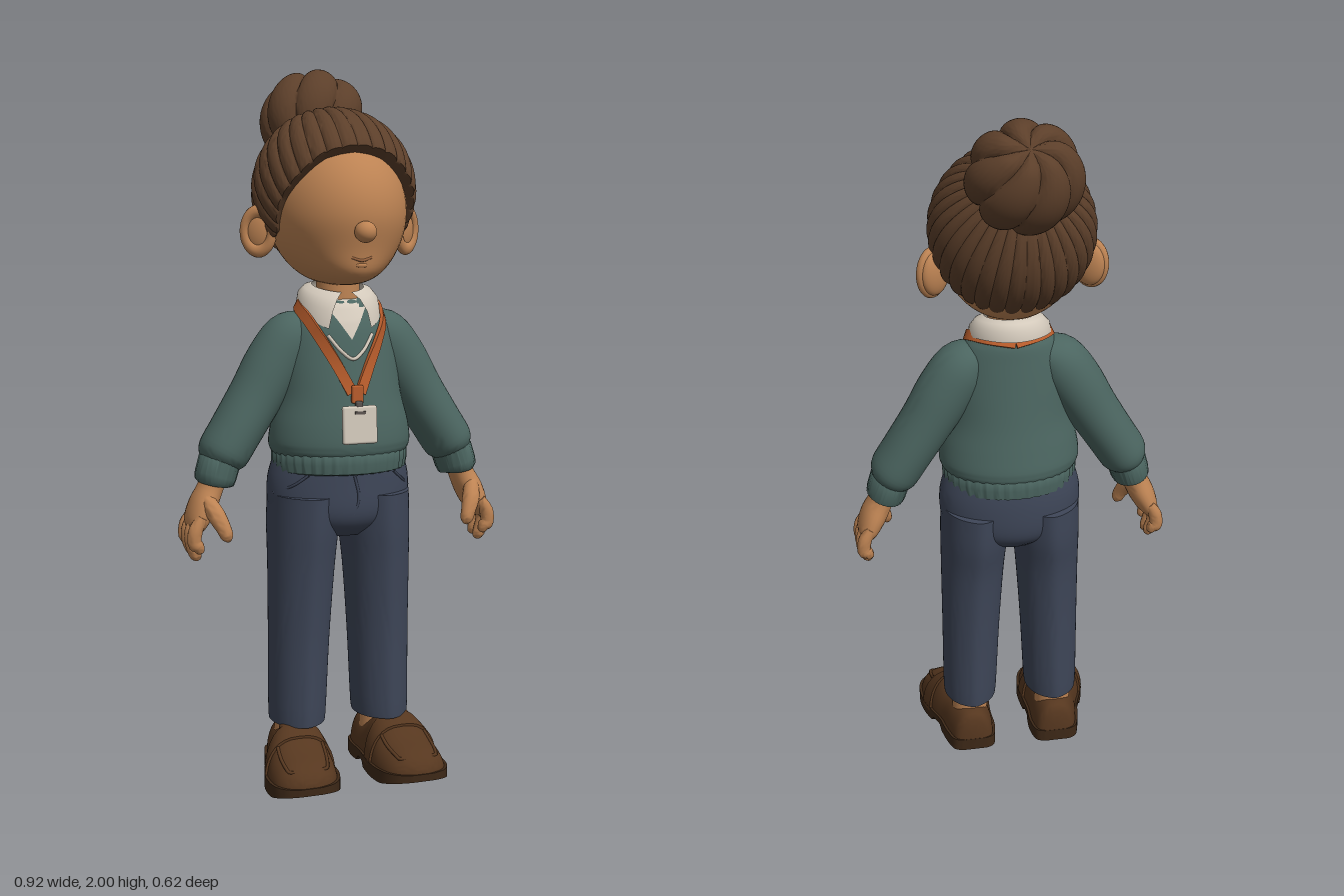
import * as THREE from 'three';
import { toCreasedNormals } from 'three/addons/utils/BufferGeometryUtils.js';
import { RoundedBoxGeometry } from 'three/addons/geometries/RoundedBoxGeometry.js';

const V = (x, y, z) => new THREE.Vector3(x, y, z);
const { sin, cos, abs, PI, sign, pow, floor, min, max, sqrt } = Math;

// Closed solid through a list of rings, with end caps and outward faces
function loft(rings, crease = 0.9) {
  const n = rings[0].length, pts = rings.flat(), tri = [];
  rings.slice(1).forEach((_, i) => {
    for (let j = 0; j < n; j++) {
      const a = i * n + j, b = i * n + (j + 1) % n;
      tri.push(a, b, a + n, b, b + n, a + n);
    }
  });
  for (const [start, flip] of [[0, 1], [(rings.length - 1) * n, 0]]) {
    const c = V(0, 0, 0);
    for (let j = 0; j < n; j++) c.addScaledVector(pts[start + j], 1 / n);
    pts.push(c);
    for (let j = 0; j < n; j++) {
      const a = start + j, b = start + (j + 1) % n;
      tri.push(pts.length - 1, flip ? b : a, flip ? a : b);
    }
  }
  let vol = 0;
  for (let i = 0; i < tri.length; i += 3)
    vol += pts[tri[i]].dot(V(0, 0, 0).crossVectors(pts[tri[i + 1]], pts[tri[i + 2]]));
  if (vol < 0) tri.reverse();
  const g = new THREE.BufferGeometry().setFromPoints(pts);
  g.setIndex(tri);
  return toCreasedNormals(g, crease);
}

// Smooth interpolation of every column of a table
function smooth(rows, k = 4) {
  const out = [], at = i => rows[max(0, min(rows.length - 1, i))];
  for (let i = 0; i < rows.length - 1; i++)
    for (let s = 0; s < k; s++) {
      const t = s / k;
      out.push(rows[i].map((_, c) => {
        const [p, a, b, d] = [at(i - 1)[c], at(i)[c], at(i + 1)[c], at(i + 2)[c]];
        return a + 0.5 * t * (b - p + t * (2 * p - 5 * a + 4 * b - d + t * (3 * (a - b) + d - p)));
      }));
    }
  return [...out, at(rows.length - 1)];
}

const ring = (n, fn) => Array.from({ length: n }, (_, j) => fn(j / n * 2 * PI));

// Upright stack of ellipses: rows of [y, cx, cz, rx, rz]
const stack = (rows, n = 40, f = () => 1) => loft(rows.map(([y, cx, cz, rx, rz]) =>
  ring(n, a => V(cx + rx * sin(a) * f(a), y, cz + rz * cos(a) * f(a)))));

// Limb along a path: rows of [x, y, z, radius, depth radius]
function limb(rows, n = 24, f = () => 1) {
  return loft(rows.map(([x, y, z, r, rz = r], i) => {
    const p = rows[max(0, i - 1)], q = rows[min(rows.length - 1, i + 1)];
    const t = V(q[0] - p[0], q[1] - p[1], q[2] - p[2]).normalize();
    const b = V(0, 0, 1).addScaledVector(t, -t.z).normalize(), m = V(0, 0, 0).crossVectors(t, b);
    return ring(n, a => V(x, y, z).addScaledVector(m, r * cos(a) * f(a)).addScaledVector(b, rz * sin(a) * f(a)));
  }));
}

const wire = (pts, r) => new THREE.TubeGeometry(new THREE.CatmullRomCurve3(pts.map(p => V(...p))), 40, r, 8);
const ball = (x, y, z, rx, ry, rz) => new THREE.SphereGeometry(1, 32, 24).scale(rx, ry, rz).translate(x, y, z);

function mirrored(geo) {
  const g = geo.index ? geo.toNonIndexed() : geo.clone();
  for (const name of ['position', 'normal']) {
    const a = g.attributes[name];
    for (let i = 0; i < a.count; i += 3) {
      const v = [0, 2, 1].map(k => V(0, 0, 0).fromBufferAttribute(a, i + k));
      v.forEach((p, k) => a.setXYZ(i + k, -p.x, p.y, p.z));
    }
  }
  return g;
}

const TORSO = smooth([[0.93, 0, 0.055, 0.19, 0.155], [0.96, 0, 0.057, 0.204, 0.165], [1.02, 0, 0.06, 0.197, 0.158],
  [1.1, 0, 0.06, 0.176, 0.143], [1.2, 0, 0.055, 0.166, 0.124], [1.28, 0, 0.05, 0.15, 0.108],
  [1.33, 0, 0.042, 0.125, 0.092], [1.355, 0, 0.042, 0.095, 0.077], [1.37, 0, 0.042, 0.06, 0.05]], 5);
// Front of the sweater at a given x and y
function chestZ(x, y) {
  const [, , cz, rx, rz] = TORSO.find(r => r[0] >= y) || TORSO.at(-1);
  return cz + rz * sqrt(max(0, 1 - (x / rx) ** 2));
}

// Direction grid round a pole tilted up and back, shared by hair and bun
const dir = (th, ph) => V(sin(th) * sin(ph),
  cos(th) * 0.75 + sin(th) * cos(ph) * 0.66, -cos(th) * 0.66 + sin(th) * cos(ph) * 0.75);

// Hairline: [angle round pole, angle from pole] in degrees
const HAIRLINE = [[0, 98], [25, 100], [45, 107], [70, 114], [95, 124], [105, 122], [118, 109], [135, 114], [155, 122], [181, 124]];
function hairline(ph) {
  const d = min(ph, 2 * PI - ph) * 180 / PI, i = HAIRLINE.findIndex(h => h[0] > d) - 1;
  const [a, b] = [HAIRLINE[i], HAIRLINE[i + 1]];
  return (a[1] + (b[1] - a[1]) * (d - a[0]) / (b[0] - a[0])) * PI / 180;
}
function hair() {
  const rings = [];
  for (let i = 0; i <= 34; i++) rings.push(ring(288, ph => {
    const t = min(1, (i + 0.3) / 30), roll = max(0, i - 29) / 5;
    const groove = (1 - pow(abs(sin(16 * ph)), 0.6)) * 0.035 * min(1, t * 2.5);
    const d = dir(t * hairline(ph) + roll * 0.03, ph).multiplyScalar((1 - groove) * (1 - 0.24 * roll * roll));
    return V(d.x * 0.23, 1.66 + d.y * 0.232, d.z * (d.z > 0 ? 0.262 : 0.215));
  }));
  return loft(rings, 1.2);
}
function bun() {
  const rings = [];
  for (let i = 0; i <= 36; i++) rings.push(ring(168, ph => {
    const th = (i + 0.05) / 36.1 * PI;
    const lobe = 0.86 + 0.15 * pow(abs(sin(3.5 * ph + 1.3 * th)), 0.55) * min(1, th * 2);
    const d = dir(th, ph).multiplyScalar(lobe);
    return V(d.x * 0.155, 1.855 + d.y * 0.147, -0.172 + d.z * 0.142);
  }));
  return loft(rings, 1.2);
}
function head() {
  const g = new THREE.SphereGeometry(1, 56, 44), p = g.attributes.position;
  for (let i = 0; i < p.count; i++) {
    const x = p.getX(i), y = p.getY(i), z = p.getZ(i);
    const jaw = y < 0 ? 1 + 1.1 * y ** 4 : 1;
    p.setXYZ(i, x * 0.19, 1.6 + y * (y > 0 ? 0.22 : 0.2), 0.03 + z * (z > 0 ? 0.238 * jaw : 0.19));
  }
  g.computeVertexNormals();
  return g;
}

// Open strip surface between rows of points
function sheet(rows) {
  const n = rows[0].length, g = new THREE.BufferGeometry().setFromPoints(rows.flat()), idx = [];
  for (let i = 0; i < rows.length - 1; i++) for (let j = 0; j < n - 1; j++) {
    const a = i * n + j;
    idx.push(a, a + n, a + 1, a + 1, a + n, a + n + 1);
  }
  g.setIndex(idx);
  g.computeVertexNormals();
  return g;
}
function collar() {
  return sheet([0, 0.3, 0.65, 1].map(t => Array.from({ length: 41 }, (_, j) => {
    const u = j / 40 * 2 - 1, aT = PI - u * (PI - 0.2), aB = PI - u * (PI - 0.55);
    const f = (1 + cos(aB)) / 2, out = 0.012 * sin(t * PI);
    const T = V(0.072 * sin(aT), 1.412 - 0.03 * f, 0.043 + 0.078 * cos(aT));
    const B = V(0.118 * sin(aB), 1.36 - 0.085 * f * f, 0.048 + 0.122 * cos(aB));
    return T.lerp(B, t).add(V(out * sin(aB), out, out * cos(aB)));
  })));
}
const lanyard = () => {
  const pts = [[0, 1.35, -0.053], [0.07, 1.357, -0.03], [0.116, 1.347, 0.035], [0.108, 1.305, 0.12],
    ...[[0.08, 1.25], [0.048, 1.19], [0.012, 1.115]].map(([x, y]) => [x, y, chestZ(x, y) + 0.006])];
  const curve = new THREE.CatmullRomCurve3(pts.map(p => V(...p)));
  return loft(Array.from({ length: 41 }, (_, i) => {
    const p = curve.getPoint(i / 40), t = curve.getTangent(i / 40);
    const out = V(p.x, max(0, p.y - 1.28) * 0.8, p.z - 0.045).normalize();
    const w = V(0, 0, 0).crossVectors(t, out).normalize();
    return [[-1, -1], [1, -1], [1, 1], [-1, 1]].map(([a, b]) =>
      p.clone().addScaledVector(w, a * 0.015).addScaledVector(out, b * 0.005));
  }), 0.6);
};

// Shoe sections: [z, centre x, half width, height]
const SHOE = smooth([[-0.064, 0.13, 0.03, 0.085], [-0.05, 0.13, 0.056, 0.122], [0, 0.133, 0.07, 0.132], [0.06, 0.14, 0.075, 0.138],
  [0.11, 0.148, 0.086, 0.16], [0.16, 0.154, 0.096, 0.14], [0.21, 0.158, 0.098, 0.113], [0.26, 0.162, 0.088, 0.093],
  [0.293, 0.164, 0.062, 0.07], [0.308, 0.165, 0.025, 0.048]]);
const shoePoint = ([z, cx, w, h], a, grow = 0) => V(cx + (w + grow) * sign(cos(a)) * pow(abs(cos(a)), 0.75),
  0.025 + max(0, (h - 0.025 + grow) * sin(a)), z);
const shoeUpper = (rows, grow) => loft(rows.map(r => ring(36, a => shoePoint(r, a, grow))));
const shoeSole = () => loft(SHOE.map(([z, cx, w]) => {
  const bottom = z > 0.055 && z < 0.1 ? 0.016 : max(0, z - 0.24) * 0.25;
  return [[-1, bottom], [1, bottom], [1, 0.038], [-1, 0.038]].map(([s, y]) => V(cx + s * (w + 0.007), y, z * 1.01));
}), 0.6);

export function createModel() {
  const model = new THREE.Group();
  const mat = (name, color, side = THREE.FrontSide) => new THREE.MeshStandardMaterial({ name, color, side });
  const skin = mat('skin', 0xbd8353), lip = mat('lip', 0x9a6540), hairMat = mat('brown hair', 0x5c3f2a),
    wool = mat('green wool', 0x4b6560), cloth = mat('navy cloth', 0x3e4658), leather = mat('brown leather', 0x56371f),
    rubber = mat('dark sole', 0x3d2817), cream = mat('cream', 0xd3c9bb, THREE.DoubleSide),
    orange = mat('orange ribbon', 0xb95d2c), metal = mat('dark metal', 0x5b5450);
  const add = (name, geo, m) => {
    const mesh = new THREE.Mesh(geo, m);
    mesh.name = name;
    model.add(mesh);
  };
  const pair = (name, geo, m) => { add(name + 'Left', geo, m); add(name + 'Right', mirrored(geo), m); };

  // Head
  add('head', head(), skin);
  add('nose', ball(0, 1.555, 0.274, 0.03, 0.029, 0.03), skin);
  add('mouth', wire([[-0.028, 1.486, 0.243], [0, 1.478, 0.247], [0.028, 1.486, 0.243]], 0.004), lip);
  add('lowerLip', ball(0, 1.465, 0.242, 0.018, 0.007, 0.006), skin);
  add('neck', new THREE.CylinderGeometry(0.06, 0.064, 0.16, 32).translate(0, 1.37, 0.045), skin);
  const place = g => g.rotateY(0.6).translate(0.212, 1.55, -0.005);
  pair('ear', place(ball(0, 0, 0, 0.046, 0.062, 0.024)), skin);
  pair('earRim', place(new THREE.TorusGeometry(0.04, 0.014, 12, 36).scale(1, 1.35, 1).translate(0, 0, 0.012)), skin);
  add('hair', hair(), hairMat);
  add('bun', bun(), hairMat);

  // Sweater
  const ribs = k => a => 1 + 0.012 * cos(k * a);
  add('sweaterBody', stack(TORSO, 48), wool);
  add('sweaterHem', stack([[0.885, 0, 0.055, 0.18, 0.148], [0.889, 0, 0.055, 0.19, 0.158], [0.915, 0, 0.056, 0.194, 0.162],
    [0.94, 0, 0.056, 0.194, 0.162], [0.948, 0, 0.056, 0.186, 0.154]], 240, ribs(40)), wool);
  pair('sleeve', limb(smooth([[0.09, 1.285, 0.035, 0.05, 0.06], [0.135, 1.255, 0.035, 0.077, 0.08], [0.185, 1.185, 0.035, 0.082, 0.085],
    [0.24, 1.095, 0.037, 0.076, 0.085], [0.3, 1.0, 0.042, 0.073, 0.088], [0.338, 0.94, 0.045, 0.071, 0.086],
    [0.352, 0.915, 0.047, 0.056, 0.07]]), 36), wool);
  pair('cuff', limb([[0.345, 0.925, 0.047, 0.05, 0.066], [0.348, 0.92, 0.047, 0.058, 0.073], [0.361, 0.878, 0.05, 0.057, 0.073],
    [0.366, 0.862, 0.052, 0.054, 0.069], [0.367, 0.857, 0.052, 0.045, 0.06]], 168, ribs(28)), wool);

  // Shirt, lanyard and badge
  add('collar', collar(), cream);
  add('shirtFront', sheet(Array.from({ length: 9 }, (_, i) => [-1, -0.5, 0, 0.5, 1].map(s => {
    const y = 1.365 - i * 0.0135, x = s * 0.07 * (1 - i / 8);
    return V(x, y, chestZ(x, y) + 0.005);
  }))), cream);
  add('necklineTrim', wire([[-0.065, 1.27], [-0.03, 1.225], [0, 1.205], [0.03, 1.225], [0.065, 1.27]]
    .map(([x, y]) => [x, y, chestZ(x, y) + 0.004]), 0.005), cream);
  pair('lanyard', lanyard(), orange);
  add('lanyardEnd', new RoundedBoxGeometry(0.034, 0.05, 0.014, 2, 0.005).translate(0, 1.112, 0.212), orange);
  add('badgeClip', new RoundedBoxGeometry(0.02, 0.03, 0.016, 2, 0.005).translate(0, 1.08, 0.226), metal);
  add('badge', new RoundedBoxGeometry(0.1, 0.105, 0.016, 3, 0.007).rotateX(-0.08).translate(0, 1.03, 0.231), cream);
  add('badgeSlot', new THREE.BoxGeometry(0.03, 0.008, 0.004).translate(0, 1.064, 0.237), metal);

  // Trousers
  const crease = a => 1 + 0.045 * (pow(max(0, cos(a)), 24) + pow(max(0, -cos(a)), 24));
  add('trouserSeat', stack(smooth([[0.7, 0, 0.045, 0.1, 0.09], [0.735, 0, 0.045, 0.17, 0.13], [0.78, 0, 0.046, 0.203, 0.146],
    [0.86, 0, 0.046, 0.206, 0.146], [0.93, 0, 0.05, 0.186, 0.14]]), 48), cloth);
  pair('trouserLeg', stack(smooth([[0.165, 0.126, 0.049, 0.074, 0.1], [0.172, 0.126, 0.049, 0.08, 0.105], [0.4, 0.12, 0.049, 0.086, 0.109],
    [0.6, 0.113, 0.05, 0.093, 0.122], [0.72, 0.107, 0.046, 0.099, 0.138], [0.82, 0.103, 0.046, 0.1, 0.143]]), 64, crease), cloth);
  pair('pocketSeam', wire([[0.125, 0.885, 0.164], [0.16, 0.855, 0.139], [0.201, 0.825, 0.076]], 0.004), cloth);
  add('flySeam', wire([[0, 0.88, 0.192], [0.012, 0.82, 0.192], [0, 0.77, 0.187]], 0.004), cloth);

  // Hands
  pair('palm', limb(smooth([[0.363, 0.885, 0.053, 0.035, 0.045], [0.378, 0.845, 0.054, 0.036, 0.047], [0.4, 0.8, 0.056, 0.038, 0.062],
    [0.42, 0.755, 0.055, 0.031, 0.066], [0.428, 0.725, 0.053, 0.015, 0.05]]), 24), skin);
  [[0.112, 0.675], [0.075, 0.648], [0.037, 0.655], [0.002, 0.68]].forEach(([z, tip], i) =>
    pair('finger' + (i + 1), limb(smooth([[0.415, 0.775, z, 0.014], [0.434, 0.74, z, 0.02], [0.438, 0.705, z, 0.019],
      [0.428, tip + 0.02, z, 0.018], [0.42, tip + 0.004, z, 0.011], [0.418, tip, z, 0.003]]), 14), skin));
  pair('thumb', limb(smooth([[0.395, 0.82, 0.09, 0.02], [0.38, 0.785, 0.125, 0.025], [0.364, 0.75, 0.145, 0.021],
    [0.355, 0.725, 0.152, 0.017], [0.351, 0.712, 0.154, 0.005]]), 16), skin);

  // Ankles and loafers
  pair('ankle', new THREE.CylinderGeometry(0.052, 0.055, 0.13, 28).translate(0.131, 0.14, 0.025), skin);
  pair('shoeUpper', shoeUpper(SHOE, 0), leather);
  pair('shoeStrap', shoeUpper(SHOE.filter(r => r[0] > 0.12 && r[0] < 0.185), 0.007), leather);
  pair('shoeTongue', ball(0.147, 0.148, 0.108, 0.05, 0.022, 0.032), leather);
  const toe = SHOE.filter(r => r[0] > 0.17 && r[0] < 0.275), seam = a => toe.map(r => shoePoint(r, a, 0.001).toArray());
  pair('toeSeam', wire([...seam(0.95), ...seam(PI - 0.95).reverse()], 0.005), leather);
  pair('shoeSole', shoeSole(), rubber);
  return model;
}
